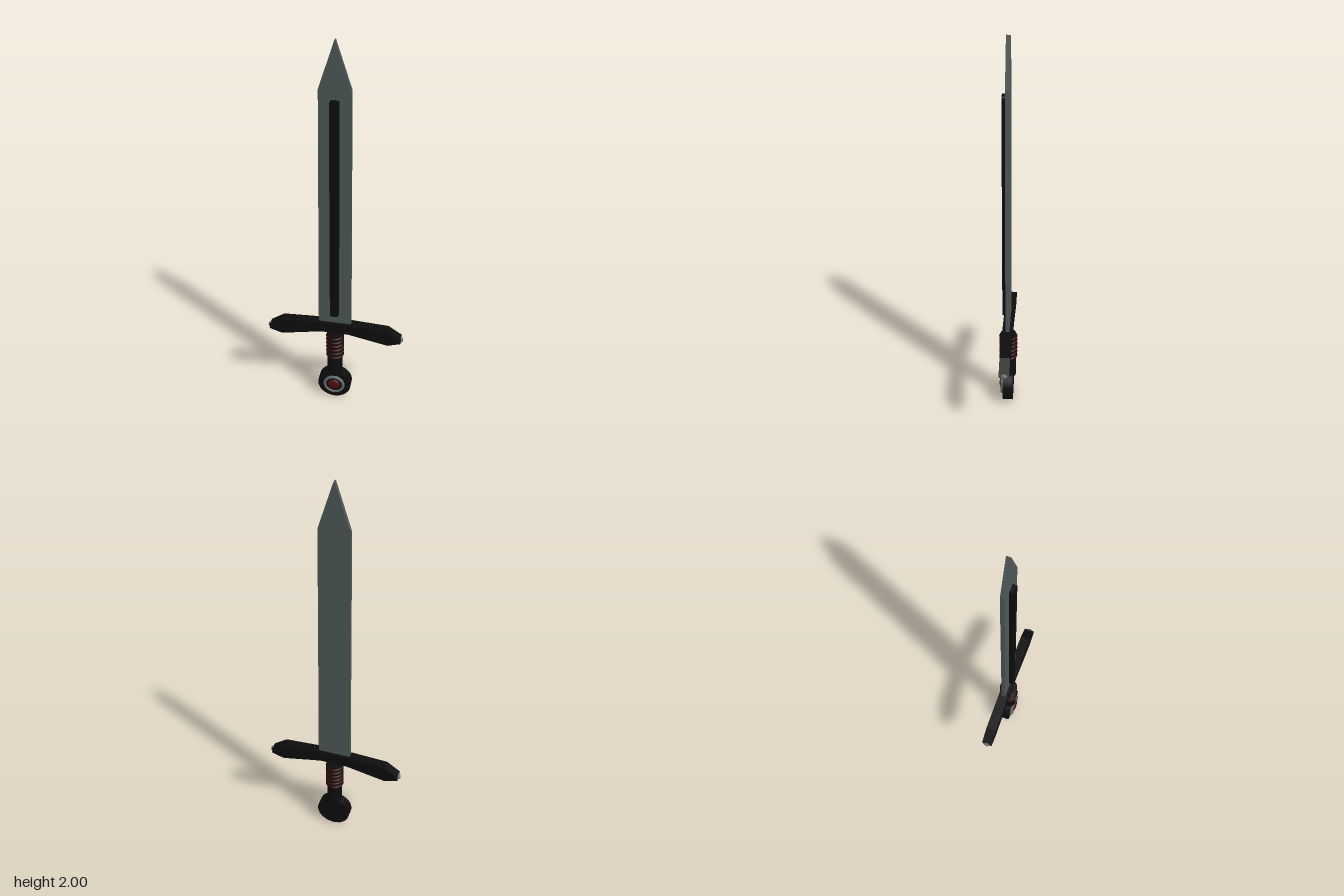
import * as THREE from 'three';

const mat = (name, color) => {
  const m = new THREE.MeshStandardMaterial({ color });
  m.name = name;
  return m;
};

export function createModel() {
  const sword = new THREE.Group();
  sword.name = 'sword';
  const steel = mat('blade steel', 0x4e5857);
  const black = mat('black leather', 0x0d0d0d);
  const red = mat('dark red binding', 0x2a0808);
  const gemRed = mat('gem red', 0x4c0d12);
  const silver = mat('silver', 0x626c6b);

  const add = (name, geometry, material, x = 0, y = 0, z = 0) => {
    const mesh = new THREE.Mesh(geometry, material);
    mesh.name = name;
    mesh.position.set(x, y, z);
    sword.add(mesh);
    return mesh;
  };

  // Extrudes an outline, given as its right half from bottom to top, centred on z = 0
  const plate = (half, depth) => {
    const left = half.map(([x, y]) => [-x, y]).reverse();
    const points = [...half, ...left].map(([x, y]) => new THREE.Vector2(x, y));
    const geometry = new THREE.ExtrudeGeometry(new THREE.Shape(points), { depth, bevelEnabled: false });
    return geometry.translate(0, 0, -depth / 2);
  };

  // Tapered blade with a pointed tip
  add('blade', plate([[0.084, 0.505], [0.074, 1.78], [0.002, 2]], 0.02), steel);

  // Raised strip along the front of the blade, with clipped corners
  add('bladeStrip', plate([[0.016, 0.557], [0.022, 0.566], [0.022, 1.727], [0.016, 1.735]], 0.022),
    black, 0, 0, 0.018);

  // Drooping crossguard with flared, pointed ends
  add('crossguard', plate([
    [0.07, 0.448], [0.278, 0.406], [0.345, 0.428], [0.335, 0.437], [0.345, 0.447],
    [0.275, 0.495], [0.08, 0.505],
  ], 0.052), black);
  for (const side of [-1, 1]) {
    const tip = add('guardTip', new THREE.SphereGeometry(0.018, 16, 12), silver, side * 0.337, 0.436, 0);
    tip.scale.set(1.05, 0.8, 1);
  }

  // Round grip with binding rings
  add('grip', new THREE.CylinderGeometry(0.04, 0.04, 0.27, 24), black, 0, 0.295, 0);
  for (let i = 0; i < 6; i++) {
    const ring = add('gripRing', new THREE.TorusGeometry(0.039, 0.0085, 8, 24), red, 0, 0.288 + i * 0.025, 0);
    ring.rotation.x = Math.PI / 2;
  }

  // Disc pommel
  const pommel = add('pommel', new THREE.CylinderGeometry(0.088, 0.088, 0.052, 32), black, 0, 0.093, 0);
  pommel.rotation.x = Math.PI / 2;

  // Silver setting and domed gem on the front of the pommel
  add('gemSetting', new THREE.TorusGeometry(0.05, 0.008, 8, 32), silver, 0, 0.095, 0.032);
  add('gemBed', new THREE.CylinderGeometry(0.046, 0.046, 0.008, 24).rotateX(Math.PI / 2), black, 0, 0.095, 0.03);
  const gem = add('gem', new THREE.SphereGeometry(0.034, 20, 12), gemRed, 0, 0.095, 0.032);
  gem.scale.z = 0.45;

  return sword;
}
